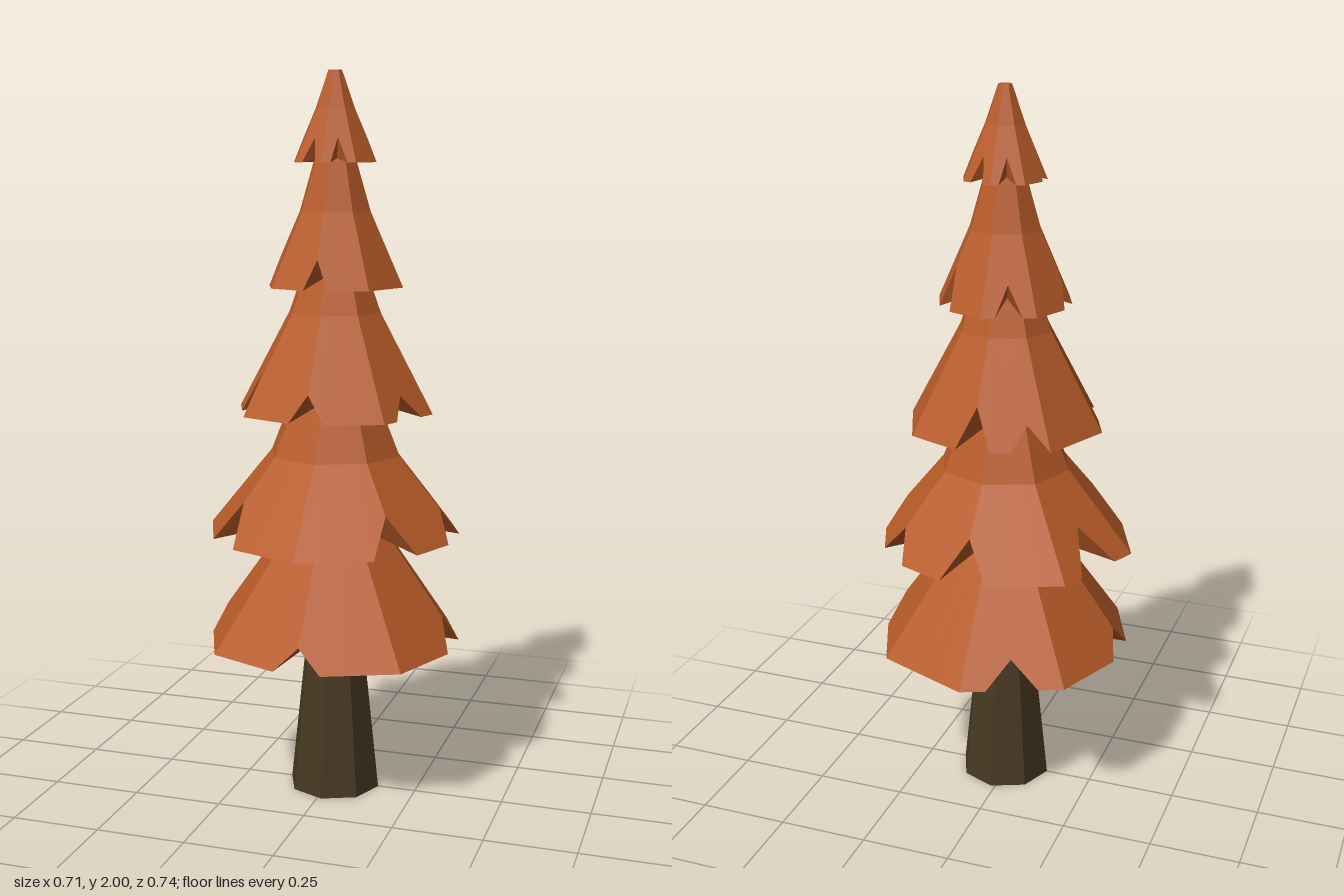
import * as THREE from 'three';

const SIDES = 8;
const COLS = SIDES * 4; // corners, quarter points and middles of each side

const leafMaterial = new THREE.MeshStandardMaterial({ color: 0xb85b28, flatShading: true });
const barkMaterial = new THREE.MeshStandardMaterial({ color: 0x473822, flatShading: true });

// Point k of COLS along the outline of an octagon with corner radius r
function octagonPoint(k, r, y) {
  const side = Math.floor(k / 4);
  const corner = (i) => {
    const a = (i / SIDES) * Math.PI * 2;
    return new THREE.Vector3(Math.sin(a) * r, y, Math.cos(a) * r);
  };
  return corner(side).lerp(corner(side + 1), (k % 4) / 4);
}

// Joins rings of points, listed from bottom to top, into one shell
function skin(rings) {
  const positions = rings.flat().flatMap((p) => p.toArray());
  const index = [];
  for (let r = 0; r < rings.length - 1; r++) {
    for (let k = 0; k < COLS; k++) {
      const n = (k + 1) % COLS;
      const a = r * COLS + k, b = r * COLS + n;
      const c = a + COLS, d = b + COLS;
      // Flip the diagonal on alternate columns so notches stay symmetric
      if (k % 2) index.push(a, b, c, b, d, c);
      else index.push(a, b, d, a, d, c);
    }
  }
  const geometry = new THREE.BufferGeometry();
  geometry.setAttribute('position', new THREE.Float32BufferAttribute(positions, 3));
  geometry.setIndex(index);
  const flat = geometry.toNonIndexed();
  flat.computeVertexNormals();
  return flat;
}

// Skirt of branches: inner underside, notched rim, knee, top.
// Each notch is [column, rise]; columns run from the front towards +x.
function branchTier({ inner, rim, knee, top, notches }) {
  const ring = ([r, y]) => Array.from({ length: COLS }, (_, k) => octagonPoint(k, r, y));
  const kneeRing = ring(knee);
  const rimRing = ring(rim);
  for (const [column, rise] of notches) {
    rimRing[column].lerp(kneeRing[column], rise / (knee[1] - rim[1]));
  }
  return skin([ring(inner), rimRing, kneeRing, ring(top)]);
}

const tiers = [
  { inner: [0.1, 0.475], rim: [0.371, 0.44], knee: [0.15, 0.75], top: [0.12, 0.79],
    notches: [[0, 0.065], [8, 0.085], [18, 0.07], [24, 0.07]] },
  { inner: [0.12, 0.785], rim: [0.368, 0.747], knee: [0.185, 0.97], top: [0.12, 1.13],
    notches: [[4, 0.1], [8, 0.083], [12, 0.08], [16, 0.105], [22, 0.103], [28, 0.11]] },
  { inner: [0.12, 1.125], rim: [0.277, 1.09], knee: [0.13, 1.36], top: [0.09, 1.47],
    notches: [[0, 0.075], [6, 0.06], [16, 0.11], [19, 0.065], [27, 0.11]] },
  { inner: [0.09, 1.46], rim: [0.191, 1.43], knee: [0.1, 1.63], top: [0.055, 1.78],
    notches: [[0, 0.08], [12, 0.11], [18, 0.08], [24, 0.08]] },
  { inner: [0.055, 1.77], rim: [0.118, 1.76], knee: [0.055, 1.9], top: [0.019, 2],
    notches: [[2, 0.065], [8, 0.065], [14, 0.065], [18, 0.065], [24, 0.065], [30, 0.065]] },
];

export function createModel() {
  const tree = new THREE.Group();
  tree.name = 'tree';
  const add = (name, geometry, material) => {
    const mesh = new THREE.Mesh(geometry, material);
    mesh.name = name;
    mesh.position.set(0.012, 0, 0.001);
    tree.add(mesh);
    return mesh;
  };

  // Trunk, tapering and then flaring under the branches
  const trunkProfile = [[0.13, 0], [0.088, 0.39], [0.1, 0.45], [0.1, 0.475]];
  add('trunk', new THREE.LatheGeometry(
    trunkProfile.map(([r, y]) => new THREE.Vector2(r, y)), SIDES), barkMaterial);

  // Cut face under the trunk
  const base = add('trunkBase', new THREE.CircleGeometry(0.13, SIDES), leafMaterial);
  base.rotation.x = Math.PI / 2;

  tiers.forEach((tier, i) => add(`branchTier${i + 1}`, branchTier(tier), leafMaterial));

  // Blunt tip
  const tip = add('tip', new THREE.CircleGeometry(0.019, SIDES), leafMaterial);
  tip.rotation.x = -Math.PI / 2;
  tip.position.y = 2;

  return tree;
}
